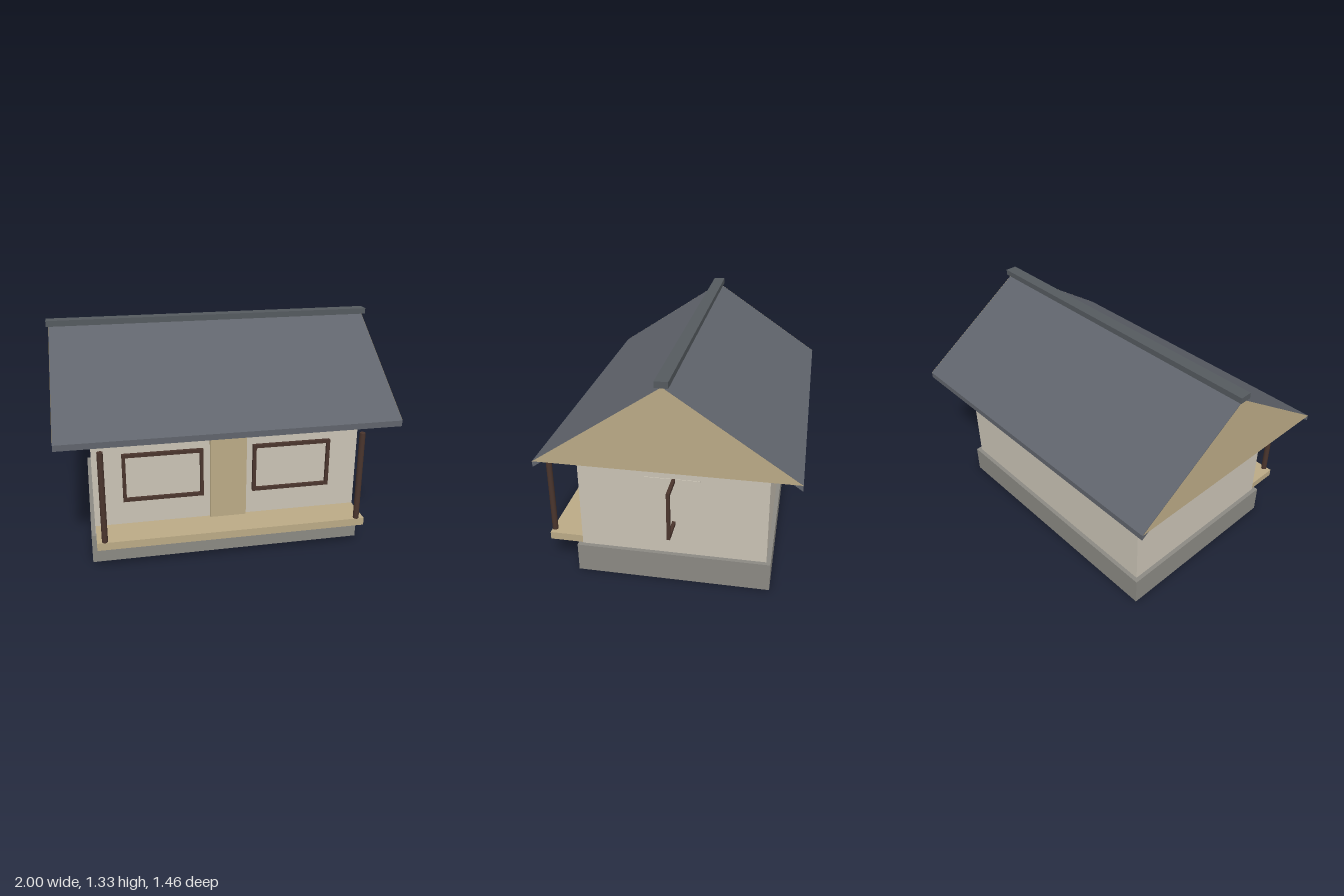
import * as THREE from 'three';

const mat = (name, color, side = THREE.FrontSide) => {
  const m = new THREE.MeshStandardMaterial({ color, side });
  m.name = name;
  return m;
};

export function createModel() {
  const house = new THREE.Group();
  house.name = 'house';

  const plaster = mat('plaster', 0xcac3b5);
  const stone = mat('stone', 0x8b8983);
  const timber = mat('timber', 0xbbaa86);
  const gableTimber = mat('gable timber', 0xbbaa86, THREE.DoubleSide);
  const slate = mat('slate', 0x60646c);
  const ridgeMetal = mat('ridge metal', 0x555a5f);
  const darkWood = mat('dark wood', 0x4a352d);

  const midZ = -0.015; // the building sits slightly behind the porch

  const add = (name, geometry, material, parent = house) => {
    const mesh = new THREE.Mesh(geometry, material);
    mesh.name = name;
    parent.add(mesh);
    return mesh;
  };
  // box from its lower and upper corners
  const box = (name, material, x0, x1, y0, y1, z0, z1, parent = house) => {
    const mesh = add(name, new THREE.BoxGeometry(x1 - x0, y1 - y0, z1 - z0), material, parent);
    mesh.position.set((x0 + x1) / 2, (y0 + y1) / 2, (z0 + z1) / 2);
    return mesh;
  };

  // body and porch floor
  box('foundation', stone, -0.815, 0.815, 0, 0.175, midZ - 0.567, midZ + 0.569);
  box('walls', plaster, -0.79, 0.79, 0.175, 0.82, midZ - 0.542, midZ + 0.542);
  box('porchDeck', timber, -0.787, 0.787, 0.177, 0.223, 0.5, 0.727);
  box('door', timber, -0.11, 0.107, 0.223, 0.72, 0.52, 0.545);

  // porch posts
  for (const side of [-1, 1]) {
    const post = add(side > 0 ? 'leftPost' : 'rightPost', new THREE.CylinderGeometry(0.017, 0.017, 0.546, 12), darkWood);
    post.position.set(side * 0.742, 0.495, 0.712);
  }

  // rectangular frame of four bars, facing +z
  const windowFrame = (name, x0, x1, z0, z1) => {
    const frame = new THREE.Group();
    frame.name = name;
    const y0 = 0.374, y1 = 0.669, t = 0.02;
    box('bottomBar', darkWood, x0, x1, y0, y0 + t, z0, z1, frame);
    box('topBar', darkWood, x0, x1, y1 - t, y1, z0, z1, frame);
    box('rightBar', darkWood, x0, x0 + t, y0 + t, y1 - t, z0, z1, frame);
    box('leftBar', darkWood, x1 - t, x1, y0 + t, y1 - t, z0, z1, frame);
    house.add(frame);
  };

  // front windows
  windowFrame('frontWindowRight', -0.62, -0.15, 0.527, 0.549);
  windowFrame('frontWindowLeft', 0.145, 0.615, 0.527, 0.549);
  box('frontPaneRight', plaster, -0.6, -0.17, 0.394, 0.649, 0.525, 0.531);
  box('frontPaneLeft', plaster, 0.165, 0.595, 0.394, 0.649, 0.525, 0.531);

  // side window: flush pane with a frame standing out of the wall
  box('sidePane', plaster, 0.787, 0.794, 0.374, 0.669, midZ - 0.159, midZ + 0.161);
  windowFrame('sideWindowFrame', 0.63, 0.947, -0.034, -0.015);

  // roof: both slopes as one folded sheet, open below
  const apex = 1.3, eave = 0.82, drop = 0.035, half = 0.714, length = 1.972;
  const section = new THREE.Shape([
    [-half, eave - drop], [0, apex - drop], [half, eave - drop],
    [half, eave], [0, apex], [-half, eave],
  ].map(([z, y]) => new THREE.Vector2(z, y)));
  const roofGeometry = new THREE.ExtrudeGeometry(section, { depth: length, bevelEnabled: false });
  roofGeometry.translate(0, 0, -length / 2).rotateY(-Math.PI / 2);
  add('roof', roofGeometry, slate).position.z = midZ;

  // thin gable triangles closing both ends
  const triangle = new THREE.Shape([
    new THREE.Vector2(-half, eave), new THREE.Vector2(half, eave), new THREE.Vector2(0, apex),
  ]);
  for (const side of [-1, 1]) {
    const gable = add(side > 0 ? 'leftGable' : 'rightGable', new THREE.ShapeGeometry(triangle), gableTimber);
    gable.rotation.y = side * Math.PI / 2;
    gable.position.set(side * (length / 2 + 0.002), 0, midZ);
  }

  box('ridgeCap', ridgeMetal, -1, 1, 1.299, 1.334, midZ - 0.036, midZ + 0.036);

  return house;
}
